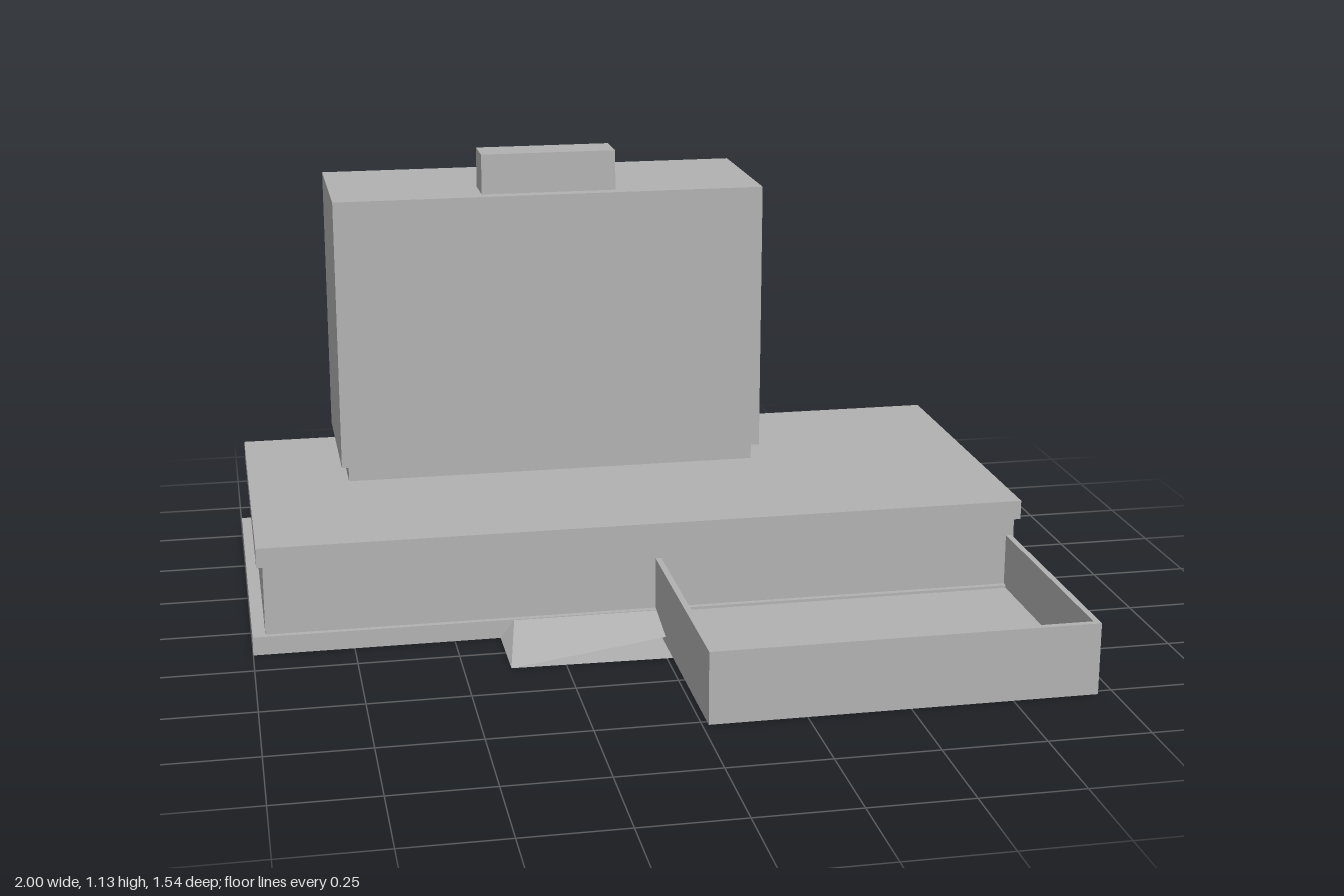
import * as THREE from 'three';

export function createModel() {
  const group = new THREE.Group();
  const concrete = new THREE.MeshStandardMaterial({ color: 0xb2b2b2, side: THREE.DoubleSide });
  concrete.name = 'concrete grey';

  // Box given by its bounds on each axis
  const block = (name, [x0, x1], [y0, y1], [z0, z1], parent = group) => {
    const mesh = new THREE.Mesh(new THREE.BoxGeometry(x1 - x0, y1 - y0, z1 - z0), concrete);
    mesh.position.set((x0 + x1) / 2, (y0 + y1) / 2, (z0 + z1) / 2);
    mesh.name = name;
    parent.add(mesh);
  };

  // Podium: plinth, recessed body, overhanging roof slab
  block('plinth', [-1, 1], [0, 0.047], [-0.768, 0.15]);
  block('podiumBody', [-0.968, 0.965], [0.047, 0.225], [-0.75, 0.135]);
  block('podiumRoof', [-0.983, 0.98], [0.225, 0.275], [-0.758, 0.142]);

  // Tower on a recessed neck, with a rooftop plant room
  block('towerNeck', [-0.72, 0.376], [0.275, 0.315], [-0.757, -0.347]);
  block('tower', [-0.738, 0.397], [0.315, 1.03], [-0.766, -0.34]);
  block('plantRoom', [-0.348, 0.006], [1.03, 1.135], [-0.482, -0.374]);

  // Walled forecourt, open at the top and closed behind by the podium
  const court = new THREE.Group();
  court.name = 'forecourt';
  group.add(court);
  block('courtFloor', [0.03, 0.945], [0, 0.04], [0.15, 0.752], court);
  block('courtWallRight', [0.015, 0.03], [0, 0.18], [0.135, 0.768], court);
  block('courtWallLeft', [0.945, 0.96], [0, 0.18], [0.135, 0.768], court);
  block('courtWallFront', [0.03, 0.945], [0, 0.18], [0.752, 0.768], court);

  // Entrance ramp: ground sheet, sloping top and flank
  const A = [-0.385, 0, 0.15], B = [-0.385, 0, 0.35], C = [0.015, 0, 0.36], D = [0.015, 0, 0.15];
  const E = [-0.35, 0.045, 0.15], F = [0.015, 0.045, 0.15], G = [0.015, 0.02, 0.27];
  const corners = [A, D, C, A, C, B, E, B, G, E, G, F, A, B, E].flat();
  const ramp = new THREE.BufferGeometry();
  ramp.setAttribute('position', new THREE.Float32BufferAttribute(corners, 3));
  ramp.computeVertexNormals();
  const rampMesh = new THREE.Mesh(ramp, concrete);
  rampMesh.name = 'entranceRamp';
  group.add(rampMesh);

  return group;
}
